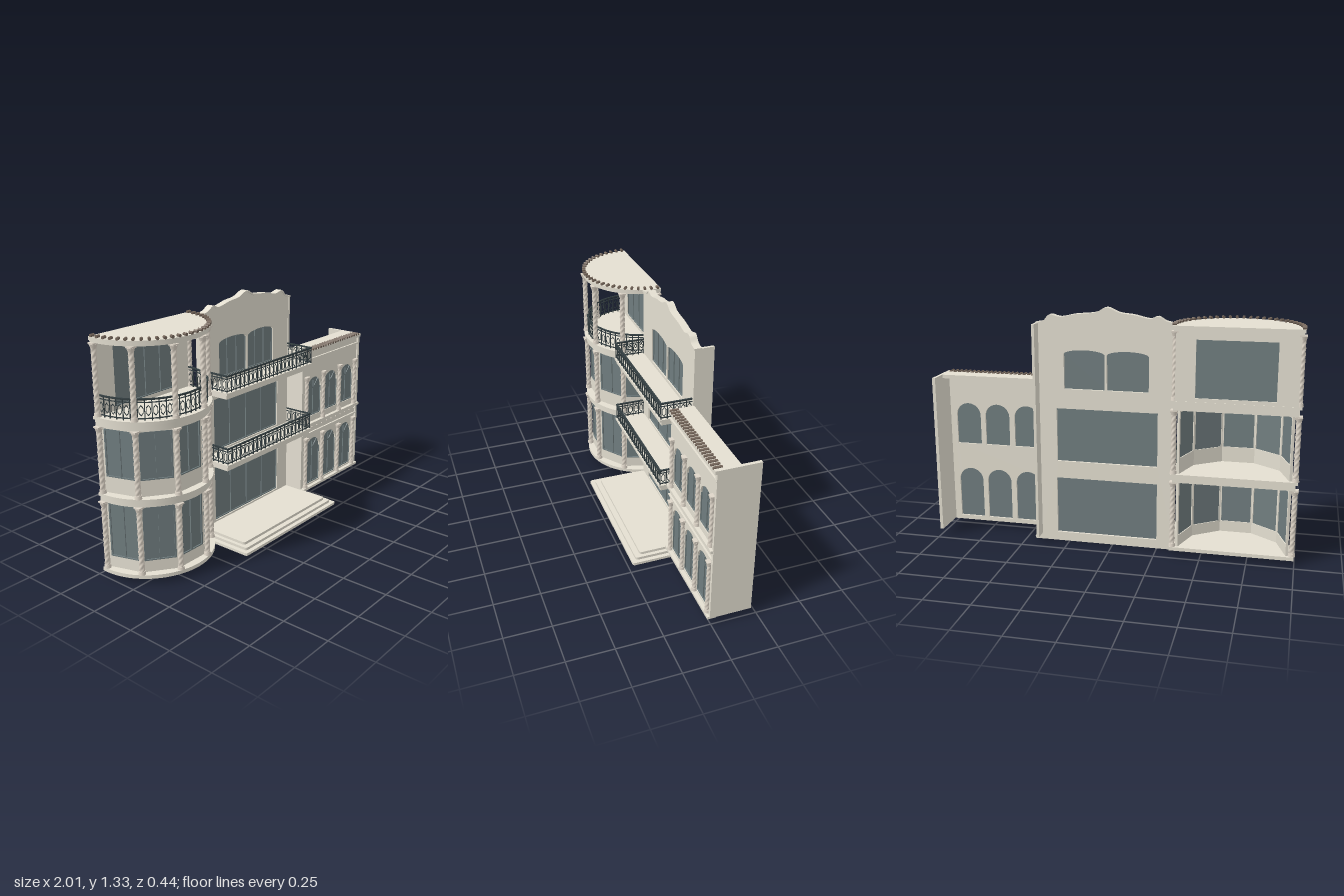
import * as THREE from 'three';
import { mergeGeometries, toCreasedNormals } from 'three/addons/utils/BufferGeometryUtils.js';

const mat = (name, color) => Object.assign(new THREE.MeshStandardMaterial({ color }), { name });

export function createModel() {
  const wall = mat('stone wall', 0xe4dfd1), stone = mat('column stone', 0xded5c8);
  const glass = mat('window glass', 0x707d7f), iron = mat('dark iron', 0x343f42), tile = mat('roof tile', 0x75665a);
  const model = new THREE.Group();
  model.name = 'house';

  const add = (name, geo, material, parent = model) => {
    const m = new THREE.Mesh(geo, material);
    m.name = name;
    parent.add(m);
    return m;
  };
  const boxGeo = (x0, x1, y0, y1, z0, z1) =>
    new THREE.BoxGeometry(x1 - x0, y1 - y0, z1 - z0).translate((x0 + x1) / 2, (y0 + y1) / 2, (z0 + z1) / 2);
  const box = (name, material, ...b) => add(name, boxGeo(...b), material);
  const extrude = (shape, depth) =>
    toCreasedNormals(new THREE.ExtrudeGeometry(shape, { depth, bevelEnabled: false, curveSegments: 24 }), 0.6);

  // Rectangle whose top can rise as an arch
  const opening = ({ x0, x1, y0, y1, rise = 0 }) => {
    const s = new THREE.Shape();
    s.moveTo(x0, y0);
    s.lineTo(x1, y0);
    s.lineTo(x1, y1 - rise);
    if (rise) s.absellipse((x0 + x1) / 2, y1 - rise, (x1 - x0) / 2, rise, 0, Math.PI, false, 0);
    else s.lineTo(x0, y1);
    s.closePath();
    return s;
  };

  // Wall with glazed openings; slim glazing bars share the glass tint
  const glazedWall = (name, shape, openings, z0, z1) => {
    openings.forEach(o => shape.holes.push(opening(o)));
    add(name, extrude(shape, z1 - z0).translate(0, 0, z0), wall);
    const zg = (z0 + z1) / 2 - 0.003, bars = [];
    for (const o of openings) {
      add(name + 'Glass', extrude(opening(o), 0.006).translate(0, 0, zg), glass);
      const { x0, x1, y0, y1, rise = 0, panes } = o, top = y1 - rise, zf = zg + 0.006;
      for (let i = 0; i <= panes; i++) {
        const x = x0 + (x1 - x0) * i / panes, t = i % panes ? y1 - rise * 0.3 : top;
        bars.push(boxGeo(x - 0.003, x + 0.003, y0, t, zf, zf + 0.006));
      }
      bars.push(boxGeo(x0, x1, y0, y0 + 0.006, zf, zf + 0.006));
    }
    add(name + 'Frames', mergeGeometries(bars), glass);
  };

  // Twisted column with base and capital
  const column = (name, x, z, y0, y1, r) => {
    const g = new THREE.Group(), h = y1 - y0, p = new THREE.Vector3();
    g.name = name;
    const shaft = new THREE.CylinderGeometry(r, r, h - 0.03, 15, 72, true), pos = shaft.attributes.position;
    for (let i = 0; i < pos.count; i++) {
      p.fromBufferAttribute(pos, i);
      const k = 1 + 0.1 * Math.cos(3 * Math.atan2(p.z, p.x) + p.y * 190);
      pos.setXYZ(i, p.x * k, p.y, p.z * k);
    }
    shaft.computeVertexNormals();
    add('shaft', shaft.translate(0, h / 2, 0), stone, g);
    add('base', new THREE.CylinderGeometry(r * 1.2, r * 1.4, 0.018, 12).translate(0, 0.009, 0), stone, g);
    add('capital', new THREE.CylinderGeometry(r * 1.5, r * 1.05, 0.02, 12).translate(0, h - 0.018, 0), stone, g);
    add('abacus', new THREE.BoxGeometry(r * 2.7, 0.008, r * 2.7).translate(0, h - 0.004, 0), stone, g);
    g.position.set(x, y0, z);
    model.add(g);
  };

  // Iron railing: one ornamented panel between each pair of [x, z] points
  const railing = (name, points, y, h) => {
    const parts = [];
    for (let i = 0; i < points.length - 1; i++) {
      const [ax, az] = points[i], [bx, bz] = points[i + 1];
      const len = Math.hypot(bx - ax, bz - az);
      const panel = mergeGeometries([
        new THREE.BoxGeometry(len + 0.004, 0.008, 0.009).translate(0, h - 0.004, 0),
        new THREE.BoxGeometry(len, 0.004, 0.005).translate(0, h - 0.02, 0),
        new THREE.BoxGeometry(len, 0.005, 0.005).translate(0, 0.01, 0),
        new THREE.BoxGeometry(0.0045, h, 0.0045).translate(-len / 2, h / 2, 0),
        new THREE.TorusGeometry(0.0115, 0.0016, 4, 6).rotateZ(Math.PI / 6).scale(1, 2.2, 1).translate(0, h * 0.45, 0),
      ]);
      panel.rotateY(-Math.atan2(bz - az, bx - ax)).translate((ax + bx) / 2, y, (az + bz) / 2);
      parts.push(panel);
    }
    add(name, mergeGeometries(parts), iron);
  };

  // Round tower: half-disc floors and roof
  const cx = -0.665, cz = -0.2;
  const halfDisc = (name, r, y0, y1) => {
    const s = new THREE.Shape();
    s.absarc(0, 0, r, Math.PI, 2 * Math.PI, false);
    s.lineTo(r, 0.02);
    s.lineTo(-r, 0.02);
    s.closePath();
    add(name, extrude(s, y1 - y0).rotateX(-Math.PI / 2).translate(cx, y0, cz), wall);
  };
  halfDisc('towerBase', 0.333, 0.03, 0.05);
  for (const [y0, y1] of [[0.42, 0.465], [0.815, 0.865]]) {
    halfDisc('towerFloorLower', 0.322, y0, y1 - 0.015);
    halfDisc('towerFloorUpper', 0.333, y1 - 0.015, y1);
  }
  halfDisc('towerRoofLower', 0.325, 1.23, 1.24);
  halfDisc('towerRoof', 0.332, 1.24, 1.258);

  // Tower columns on three floors
  for (const [y0, y1] of [[0.05, 0.42], [0.465, 0.815], [0.865, 1.23]])
    for (let i = 0; i < 6; i++) {
      const a = i * Math.PI / 5;
      column('towerColumn', cx + 0.32 * Math.cos(a), cz + 0.32 * Math.sin(a), y0, y1, 0.0138);
    }

  // Faceted tower windows on the lower two floors
  const rp = 0.3, ap = rp * Math.cos(Math.PI / 10), hw = rp * Math.sin(Math.PI / 10);
  for (const [y0, sill, y1] of [[0.05, 0.112, 0.42], [0.465, 0.55, 0.815]])
    for (let i = 0; i < 5; i++) {
      const a = (i + 0.5) * Math.PI / 5, g = new THREE.Group();
      g.name = 'towerWindow';
      add('sillWall', boxGeo(-hw, hw, y0, sill, -0.012, 0.004), wall, g);
      add('lintel', boxGeo(-hw, hw, y1 - 0.014, y1, -0.012, 0.004), wall, g);
      for (const s of [-1, 1])
        add('post', new THREE.BoxGeometry(0.012, y1 - sill, 0.014).translate(s * (hw - 0.005), (y1 + sill) / 2, -0.005), wall, g);
      add('pane', boxGeo(-hw, hw, sill, y1 - 0.014, -0.007, -0.002), glass, g);
      const bars = [-hw + 0.015, 0, hw - 0.015].map(x => boxGeo(x - 0.004, x + 0.004, sill, y1 - 0.014, -0.002, 0.005));
      for (const y of [sill, y1 - 0.02]) bars.push(boxGeo(-hw + 0.011, hw - 0.011, y, y + 0.006, -0.002, 0.005));
      add('frame', mergeGeometries(bars), glass, g);
      g.position.set(cx + ap * Math.cos(a), 0, cz + ap * Math.sin(a));
      g.rotation.y = Math.PI / 2 - a;
      model.add(g);
    }

  // Recessed top-floor wall and curved balcony rail of the tower
  glazedWall('towerBackWall', opening({ x0: -0.98, x1: -0.35, y0: 0.865, y1: 1.23 }),
    [{ x0: -0.87, x1: -0.455, y0: 0.885, y1: 1.19, panes: 4 }], -0.218, -0.198);
  railing('towerRailing', Array.from({ length: 29 }, (_, i) => {
    const a = i * Math.PI / 28;
    return [cx + 0.31 * Math.cos(a), cz + 0.31 * Math.sin(a)];
  }), 0.865, 0.11);

  // Tile ends around the tower roof
  const tiles = [];
  for (let i = 0; i <= 28; i++)
    tiles.push(new THREE.CylinderGeometry(0.008, 0.008, 0.022, 8).rotateZ(Math.PI / 2)
      .translate(0.324, 0, 0).rotateY(-i * Math.PI / 28).translate(cx, 1.265, cz));
  add('towerRoofTiles', mergeGeometries(tiles), tile);

  // Central block with a wavy parapet
  const crest = new THREE.SplineCurve([[0.42, 1.24], [0.375, 1.25], [0.34, 1.283], [0.28, 1.272], [0.2, 1.288], [0.09, 1.3],
    [0.03, 1.328], [-0.04, 1.302], [-0.12, 1.292], [-0.2, 1.275], [-0.245, 1.288], [-0.29, 1.265], [-0.345, 1.255]]
    .map(p => new THREE.Vector2(...p))).getPoints(60);
  const front = new THREE.Shape([new THREE.Vector2(-0.345, 0.03), new THREE.Vector2(0.42, 0.03), ...crest]);
  glazedWall('centralWall', front, [
    { x0: -0.25, x1: 0.315, y0: 0.055, y1: 0.378, panes: 4 },
    { x0: -0.25, x1: 0.31, y0: 0.475, y1: 0.775, panes: 4 },
    { x0: -0.2, x1: 0.028, y0: 0.885, y1: 1.1, rise: 0.025, panes: 3 },
    { x0: 0.04, x1: 0.265, y0: 0.885, y1: 1.1, rise: 0.025, panes: 3 },
  ], -0.15, -0.118);
  const coping = new THREE.Shape([...crest.map(p => new THREE.Vector2(p.x, p.y - 0.007)),
    ...crest.slice().reverse().map(p => new THREE.Vector2(p.x, p.y + 0.003))]);
  add('parapetCoping', extrude(coping, 0.04).translate(0, 0, -0.152), wall);
  box('centralSideWall', wall, 0.405, 0.42, 0.04, 1.24, -0.22, -0.115);
  box('wingInnerWall', wall, 0.405, 0.42, 0.04, 0.915, -0.115, -0.005);

  // Two balconies with railings on three sides
  const railPath = [];
  for (let i = 0; i < 5; i++) railPath.push([-0.335, -0.118 + i * 0.0342]);
  for (let i = 0; i <= 21; i++) railPath.push([-0.335 + i * 0.74 / 21, 0.053]);
  for (let i = 4; i >= 0; i--) railPath.push([0.405, -0.118 + i * 0.0342]);
  for (const y of [0.465, 0.868]) {
    box('balconySlab', wall, -0.342, 0.412, y - 0.012, y, -0.125, 0.06);
    box('balconyUnderside', wall, -0.335, 0.405, y - 0.035, y - 0.012, -0.125, 0.05);
    railing('balconyRailing', railPath, y, 0.095);
  }

  // Entrance steps with rounded corners
  [[-0.385, 0.452, 0.222], [-0.36, 0.43, 0.198], [-0.34, 0.41, 0.168]].forEach(([x0, x1, z1], i) => {
    const s = new THREE.Shape(), r = 0.015, zb = -0.14;
    s.moveTo(x0, -zb);
    s.lineTo(x0, -z1 + r);
    s.quadraticCurveTo(x0, -z1, x0 + r, -z1);
    s.lineTo(x1 - r, -z1);
    s.quadraticCurveTo(x1, -z1, x1, -z1 + r);
    s.lineTo(x1, -zb);
    s.closePath();
    add('entranceStep', extrude(s, 0.015).rotateX(-Math.PI / 2).translate(0, i * 0.015, 0), wall);
  });

  // Side wing: arcaded front, end wall, ledges and roof
  const arches = [];
  for (const [y0, y1] of [[0.06, 0.355], [0.505, 0.745]])
    for (const x of [0.525, 0.7, 0.873]) arches.push({ x0: x - 0.072, x1: x + 0.072, y0, y1, rise: 0.07, panes: 2 });
  glazedWall('wingWall', opening({ x0: 0.405, x1: 0.99, y0: 0.04, y1: 0.92 }), arches, -0.03, -0.004);
  const fans = [];
  for (const { x0, x1, y1, rise } of arches)
    for (const s of [-1, 1])
      fans.push(new THREE.BoxGeometry(0.005, 0.075, 0.004).translate(0, 0.037, 0).rotateZ(s * 0.75)
        .translate((x0 + x1) / 2, y1 - rise, -0.012));
  add('archFanBars', mergeGeometries(fans), glass);
  box('wingEndWall', wall, 0.982, 1, 0.04, 0.925, -0.22, 0.005);
  box('wingRoof', wall, 0.42, 0.998, 0.905, 0.925, -0.12, 0.015);
  for (const [y0, y1, z] of [[0.035, 0.05, 0.018], [0.395, 0.403, 0.006], [0.453, 0.468, 0.018], [0.86, 0.87, 0.006]])
    box('wingLedge', wall, 0.405, 0.998, y0, y1, -0.03, z);
  for (const [y0, y1] of [[0.05, 0.375], [0.468, 0.765]])
    for (const x of [0.44, 0.613, 0.787, 0.957]) column('wingColumn', x, 0.003, y0, y1, 0.0115);

  // Wing roof tiles and small beam ends
  const wingTiles = [], beads = [];
  for (let i = 0; i < 22; i++) {
    const x = 0.432 + i * 0.0257;
    wingTiles.push(new THREE.CylinderGeometry(0.0075, 0.0075, 0.046, 8).rotateX(Math.PI / 2).translate(x, 0.926, -0.007));
    if (i % 2) beads.push(new THREE.CylinderGeometry(0.004, 0.004, 0.01, 8).rotateX(Math.PI / 2).translate(x, 0.43, -0.002));
  }
  add('wingRoofTiles', mergeGeometries(wingTiles), tile);
  add('wingBeamEnds', mergeGeometries(beads), stone);
  return model;
}
